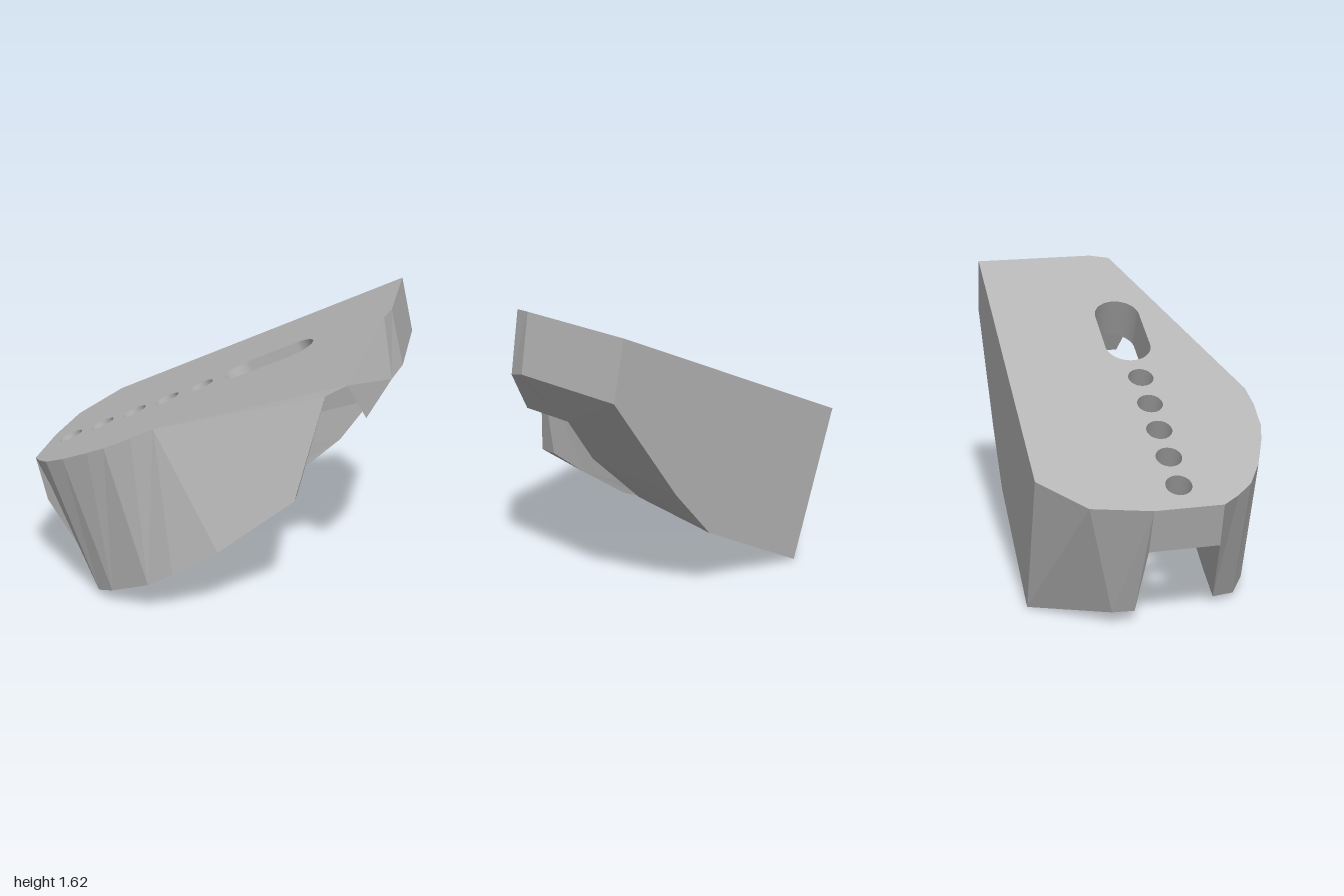
import * as THREE from 'three';
import { mergeGeometries } from 'three/addons/utils/BufferGeometryUtils.js';

const TILT = Math.atan(0.4663), COS = Math.cos(TILT), SIN = Math.sin(TILT);
const THICK = 0.25; // plate thickness, measured square to the sloping top
const V = (x, y, z) => new THREE.Vector3(x, y, z);
const top = (x, z) => V(x, 0.72 + 0.4663 * (x + 1), z);          // point on the sloping top
const under = (x, z) => top(x, z).add(V(0, -THICK / COS, 0));    // point on the plate's underside

// Flat polygon, with optional holes, that faces the given direction
function face(points, out, holes = []) {
  let pts = points.filter((p, i) => points.indexOf(p) === i);
  const n = V(0, 0, 0);
  pts.forEach((p, i) => n.add(p.clone().cross(pts[(i + 1) % pts.length])));
  n.normalize();
  if (n.dot(out) < 0) { pts = pts.slice().reverse(); n.negate(); }
  const a = pts[1].clone().sub(pts[0]);
  a.addScaledVector(n, -a.dot(n)).normalize();
  const b = n.clone().cross(a);
  const flat = (loop) => loop.map((p) => new THREE.Vector2(p.dot(a), p.dot(b)));
  const tris = THREE.ShapeUtils.triangulateShape(flat(pts), holes.map(flat));
  const all = pts.concat(...holes);
  const g = new THREE.BufferGeometry().setFromPoints(tris.flat().map((i) => all[i]));
  g.computeVertexNormals();
  return g;
}

// Row of four-sided faces between two edges with the same number of points
function strip(e1, e2, out) {
  const list = [];
  for (let i = 0; i + 1 < e1.length; i++) list.push(face([e1[i], e1[i + 1], e2[i + 1], e2[i]], out));
  return list;
}

// Rounded opening from x1 to x2 (arc centres) drilled square to the top
function opening(x1, x2, r) {
  const N = 32, upper = [];
  for (let i = 0; i < N; i++) {
    const t = -Math.PI / 2 + (i + 0.5) / N * Math.PI * 2;
    const c = Math.cos(t);
    upper.push(top((c > 0 ? x2 : x1) + r * c * COS, 0.06 + 0.01 * (r < 0.1) + r * Math.sin(t)));
  }
  const lower = upper.map((p) => p.clone().add(V(THICK * SIN, -THICK * COS, 0)));
  const index = [];
  for (let i = 0; i < N; i++) {
    const j = (i + 1) % N;
    index.push(i, N + j, j, i, N + i, N + j);
  }
  const wall = new THREE.BufferGeometry().setFromPoints([...upper, ...lower]);
  wall.setIndex(index);
  wall.computeVertexNormals();
  return { upper, lower, wall };
}

export function createModel() {
  const group = new THREE.Group();
  const grey = new THREE.MeshStandardMaterial({ color: 0xb4b4b4 });
  grey.name = 'plain grey';
  const add = (name, geos) => {
    const mesh = new THREE.Mesh(geos.length > 1 ? mergeGeometries(geos) : geos[0], grey);
    mesh.name = name;
    group.add(mesh);
  };
  const UP = V(0, 1, 0), DOWN = V(0, -1, 0), FRONT = V(0, 0, 1), BACK = V(0, 0, -1);
  const LEFT = V(1, 0, 0), RIGHT = V(-1, 0, 0);

  // Top outline: rounded front, then the high end and the back
  const rim = [[-1, 0.27], [-0.95, 0.36], [-0.88, 0.45], [-0.76, 0.53], [-0.6, 0.6],
    [-0.5, 0.63], [-0.35, 0.64], [-0.23, 0.628]].map((p) => top(...p));
  const topCut = top(0.9, 0.13), topHigh = top(0.93, 0.02), topHighBack = top(0.93, -0.655);
  const topLowBack = top(-0.75, -0.655), topLowCut = top(-0.95, -0.42), topLow = top(-1, -0.1);

  // Lower corners of the high end and its lip
  const endBack = V(1, 1.31, -0.655), endFront = V(1, 1.31, 0), endCut = V(0.955, 1.27, 0.13);
  const lipFront = V(0.83, 1.05, 0.16), lipBack = V(0.83, 1.05, -0.15);

  // Channel ceiling corners
  const ceilLowFront = under(-0.94, 0.27), ceilLowBack = under(-0.94, -0.11);
  const ceilWallEnd = under(0.62, 0.28), ceilLipFront = under(0.73, 0.23), ceilLipBack = under(0.73, -0.11);

  // Bottom edges of the front wall, outside and inside
  const outer = [V(-0.6, 0.03, 0.46), V(-0.5, 0.075, 0.54), V(-0.27, 0.18, 0.64),
    V(-0.13, 0.26, 0.655), V(0.11, 0.4, 0.62), V(0.49, 0.65, 0.43)];
  const inner = [V(-0.62, 0.03, 0.34), V(-0.5, 0.055, 0.35), V(-0.385, 0.08, 0.36),
    V(-0.08, 0.23, 0.365), V(0.24, 0.457, 0.36), V(0.49, 0.65, 0.335)];

  // Bottom edges of the rear block, channel side and back side
  const footTip = V(-0.77, 0.07, -0.14), footCut = V(-0.76, 0.07, -0.26);
  const keelIn = [V(-0.48, 0, -0.15), V(0.31, 0.47, -0.15), V(0.66, 0.8, -0.15), lipBack];
  const keelOut = [V(-0.44, 0, -0.655), V(0.3, 0.41, -0.655), V(0.56, 0.705, -0.655), endBack];

  // Row of round holes and the long slot
  const holes = [-0.853, -0.665, -0.477, -0.288, -0.093].map((x) => opening(x, x, 0.07));
  const slot = opening(0.158, 0.402, 0.13);
  const openings = [...holes, slot];
  add('roundHoles', holes.map((h) => h.wall));
  add('longSlot', [slot.wall]);

  // Plate
  add('topFace', [face([...rim, topCut, topHigh, topHighBack, topLowBack, topLowCut, topLow], UP,
    openings.map((o) => o.upper))]);
  add('channelCeiling', [face([ceilLowFront, ceilWallEnd, ceilLipFront, ceilLipBack, ceilLowBack], DOWN,
    openings.map((o) => o.lower))]);

  // High end and the lip that closes the channel
  add('highEnd', [
    face([topHigh, topHighBack, endBack, endFront], LEFT),
    face([topHigh, topCut, endCut, endFront], LEFT),
  ]);
  add('endLip', [
    face([lipBack, endFront, endCut, lipFront], DOWN),
    face([ceilLipFront, ceilLipBack, lipBack, lipFront], RIGHT),
  ]);

  // Front wall: rounded nose, flat flank, notch, underside and channel side
  const foot = [inner[0], outer[0], outer[0], outer[1], outer[1], outer[2], outer[2], outer[3]];
  add('roundedNose', [
    ...strip(rim, foot, V(-0.5, 0, 1)),
    face([rim[0], ceilLowFront, inner[0]], FRONT),
  ]);
  add('frontFlank', [
    face([rim[7], outer[3], outer[4], outer[5]], FRONT),
    face([rim[7], outer[5], ceilWallEnd, ceilLipFront, topCut], FRONT),
    face([ceilLipFront, lipFront, endCut, topCut], FRONT),
  ]);
  add('frontWallEnd', [face([ceilWallEnd, outer[5], inner[5]], LEFT)]);
  add('frontWallUnderside', strip(outer, inner, DOWN));
  add('frontWallInside', [face([ceilLowFront, ...inner, ceilWallEnd], BACK)]);

  // Rear block
  add('rearBlockBack', [face([topLowBack, topHighBack, ...keelOut.slice().reverse()], BACK)]);
  add('rearBlockInside', [face([ceilLowBack, footTip, ...keelIn, ceilLipBack], FRONT)]);
  add('rearBlockUnderside', [
    ...strip(keelIn, keelOut, DOWN),
    face([lipBack, endBack, endFront], DOWN),
    face([keelIn[0], footTip, footCut, keelOut[0]], DOWN),
  ]);

  // Low end
  add('lowEnd', [
    face([rim[0], topLow, ceilLowBack, ceilLowFront], RIGHT),
    face([topLow, topLowCut, footCut, footTip, ceilLowBack], RIGHT),
    face([topLowCut, topLowBack, keelOut[0], footCut], V(-1, 0, -1)),
  ]);
  return group;
}
